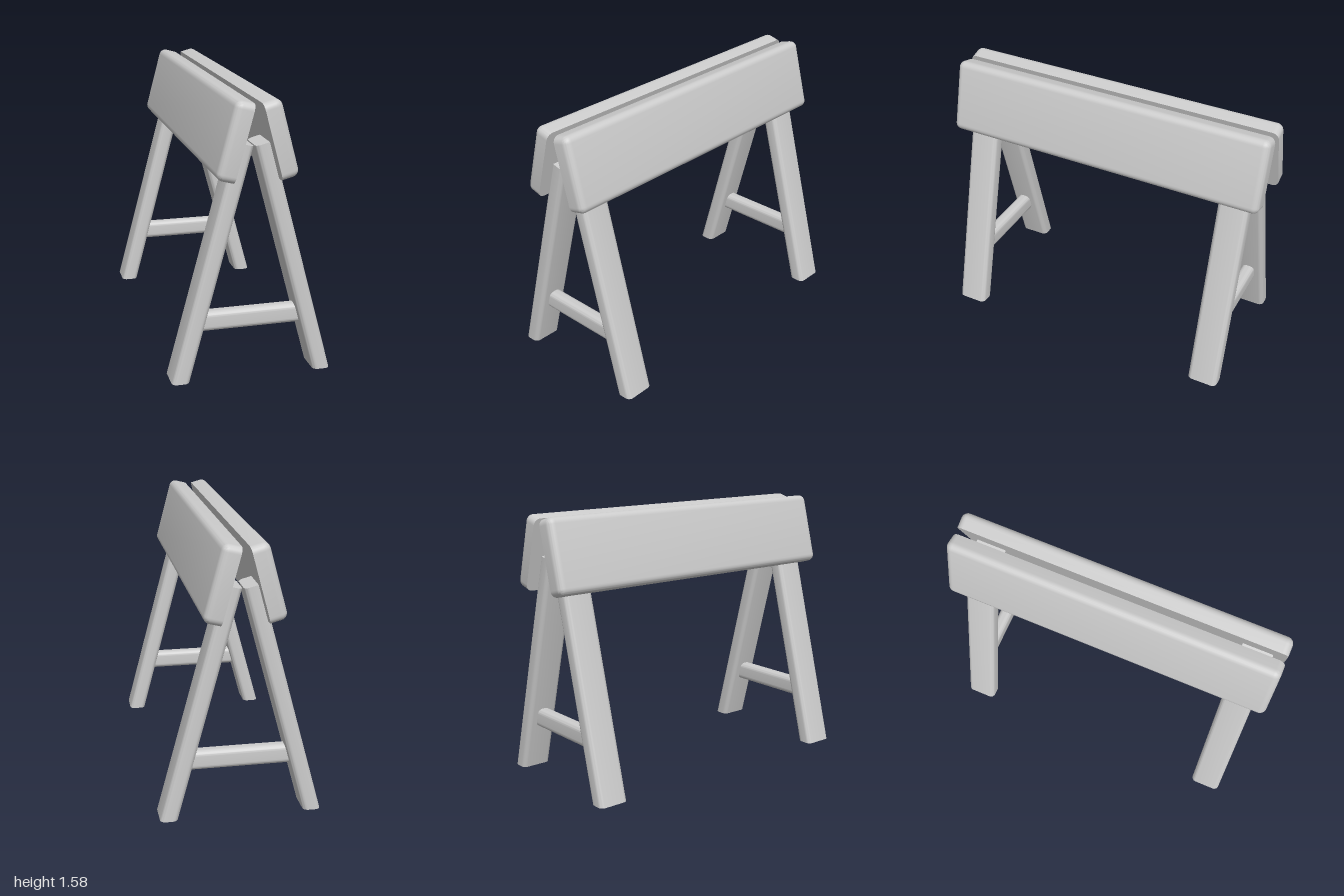
import * as THREE from 'three';
import { toCreasedNormals } from 'three/addons/utils/BufferGeometryUtils.js';
import { RoundedBoxGeometry } from 'three/addons/geometries/RoundedBoxGeometry.js';

const TILT = THREE.MathUtils.degToRad(15);
const LEG_Z = 0.8325;

// Bar with a rounded rectangular section (w along x, d along z), running up y from 0 to length
function roundedBar(w, d, length, r) {
  const a = w / 2, b = d / 2, s = new THREE.Shape();
  s.moveTo(-a + r, -b);
  s.lineTo(a - r, -b);
  s.absarc(a - r, -b + r, r, -Math.PI / 2, 0);
  s.absarc(a - r, b - r, r, 0, Math.PI / 2);
  s.absarc(-a + r, b - r, r, Math.PI / 2, Math.PI);
  s.absarc(-a + r, -b + r, r, Math.PI, Math.PI * 1.5);
  const g = new THREE.ExtrudeGeometry(s, { depth: length, bevelEnabled: false, curveSegments: 5 });
  return g.rotateX(-Math.PI / 2);
}

// Leg in the tilted frame: square top, foot cut so that it lies flat on the ground
function legGeometry() {
  const g = roundedBar(0.097, 0.185, 1.28, 0.03).translate(0.396, 0, 0);
  const p = g.attributes.position;
  for (let i = 0; i < p.count; i++) {
    if (p.getY(i) < 0.01) p.setY(i, -p.getX(i) * Math.tan(TILT));
  }
  return toCreasedNormals(g, 0.6);
}

// Board with a flat inner face and a rounded outer face
function boardGeometry() {
  const g = new RoundedBoxGeometry(0.206, 0.436, 2, 4, 0.04);
  const p = g.attributes.position;
  for (let i = 0; i < p.count; i++) p.setX(i, Math.max(0, p.getX(i)));
  return toCreasedNormals(g, 0.6);
}

export function createModel() {
  const model = new THREE.Group();
  model.name = 'sawhorse';
  const grey = new THREE.MeshStandardMaterial({ color: 0xcccccc });
  grey.name = 'light grey';

  const add = (parent, name, geometry, x, y, z) => {
    const mesh = new THREE.Mesh(geometry, grey);
    mesh.name = name;
    mesh.position.set(x, y, z);
    parent.add(mesh);
    return mesh;
  };

  const leg = legGeometry();
  const board = boardGeometry();
  const rail = toCreasedNormals(roundedBar(0.115, 0.08, 0.64, 0.03), 0.6);

  // Two leaning sides, each a board on a pair of legs
  for (const side of ['left', 'right']) {
    const half = new THREE.Group();
    half.name = side + 'Side';
    half.rotation.y = side === 'left' ? 0 : Math.PI;
    const lean = new THREE.Group();
    lean.name = side + 'Lean';
    lean.rotation.z = TILT;
    half.add(lean);
    add(lean, side + 'Board', board, 0.4246, 1.289, 0);
    for (const z of [LEG_Z, -LEG_Z]) add(lean, side + 'Leg', leg, 0, 0, z);
    model.add(half);
  }

  // Cross rails between the legs at each end
  for (const z of [LEG_Z, -LEG_Z]) {
    add(model, z > 0 ? 'frontRail' : 'backRail', rail, 0.32, 0.3325, z).rotation.z = Math.PI / 2;
  }
  return model;
}
